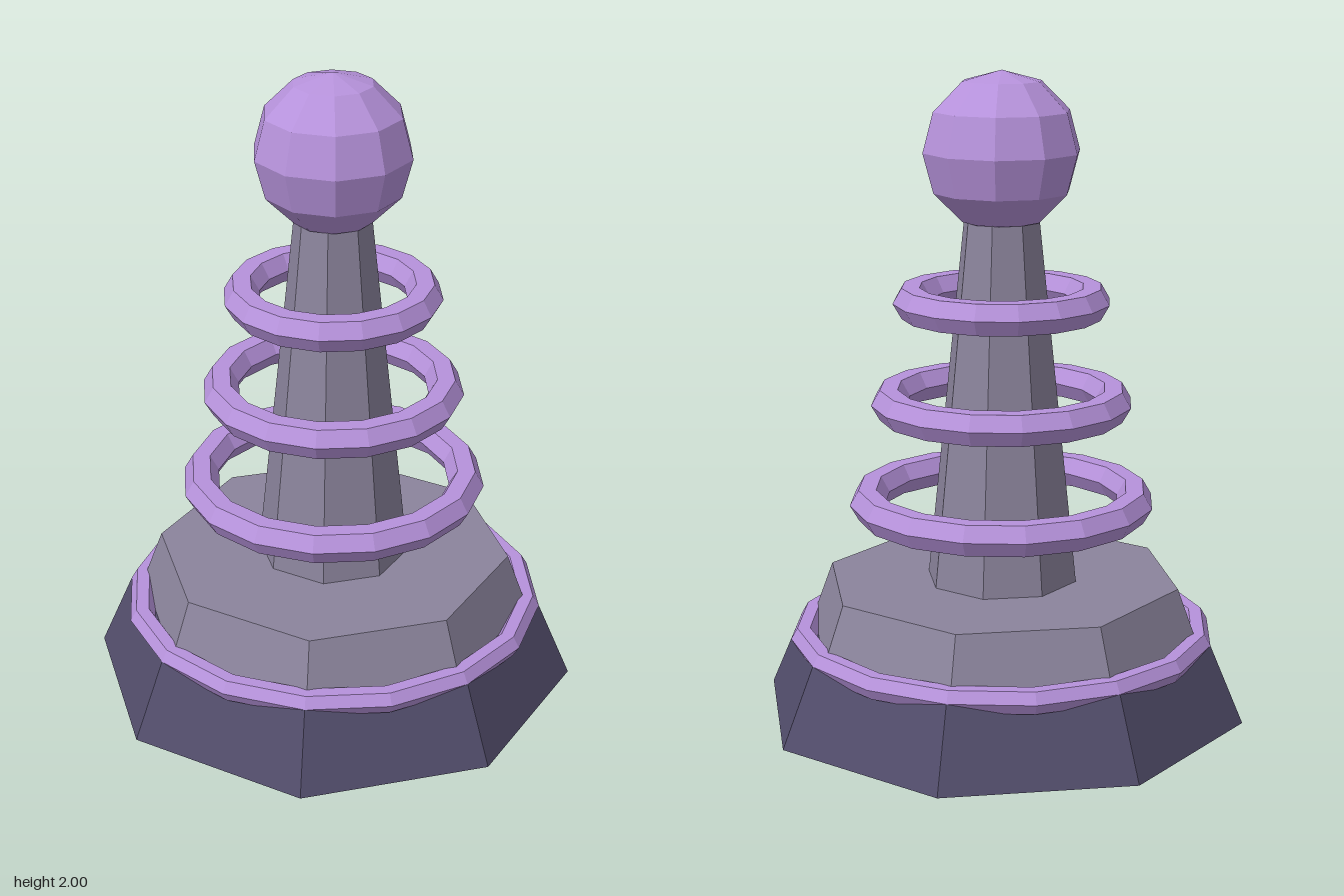
import * as THREE from 'three';

export function createModel() {
  const model = new THREE.Group();
  model.name = 'ringedTower';

  const material = (name, color) => {
    const m = new THREE.MeshStandardMaterial({ color });
    m.name = name;
    return m;
  };
  const darkStone = material('dark stone', 0x524d6b);
  const greyStone = material('grey stone', 0x8b849c);
  const violet = material('violet', 0xb692db);

  // Un-indexed geometry with face normals gives the faceted look
  const add = (name, geometry, mat, y) => {
    const flat = geometry.toNonIndexed();
    flat.computeVertexNormals();
    const mesh = new THREE.Mesh(flat, mat);
    mesh.name = name;
    mesh.position.y = y;
    model.add(mesh);
  };

  // Eight-sided tapered block standing between two heights
  const block = (name, rBottom, rTop, y0, y1, mat) =>
    add(name, new THREE.CylinderGeometry(rTop, rBottom, y1 - y0, 8), mat, (y0 + y1) / 2);

  // Horizontal ring with a six-sided section
  const ring = (name, radius, tube, y) =>
    add(name, new THREE.TorusGeometry(radius, tube, 6, 16).rotateX(Math.PI / 2), violet, y);

  // Two-step base and column
  block('lowerBase', 0.77, 0.665, 0, 0.245, darkStone);
  block('upperBase', 0.625, 0.56, 0.245, 0.42, greyStone);
  block('column', 0.238, 0.117, 0.42, 1.56, greyStone);

  // Trim around the base, then the floating rings
  ring('baseTrim', 0.625, 0.04, 0.245);
  [[0.42, 0.67], [0.35, 0.985], [0.28, 1.3]].forEach(([radius, y], i) =>
    ring(`floatingRing${i + 1}`, radius, 0.055, y));

  // Orb on top
  add('orb', new THREE.SphereGeometry(0.243, 10, 6), violet, 1.757);

  return model;
}
